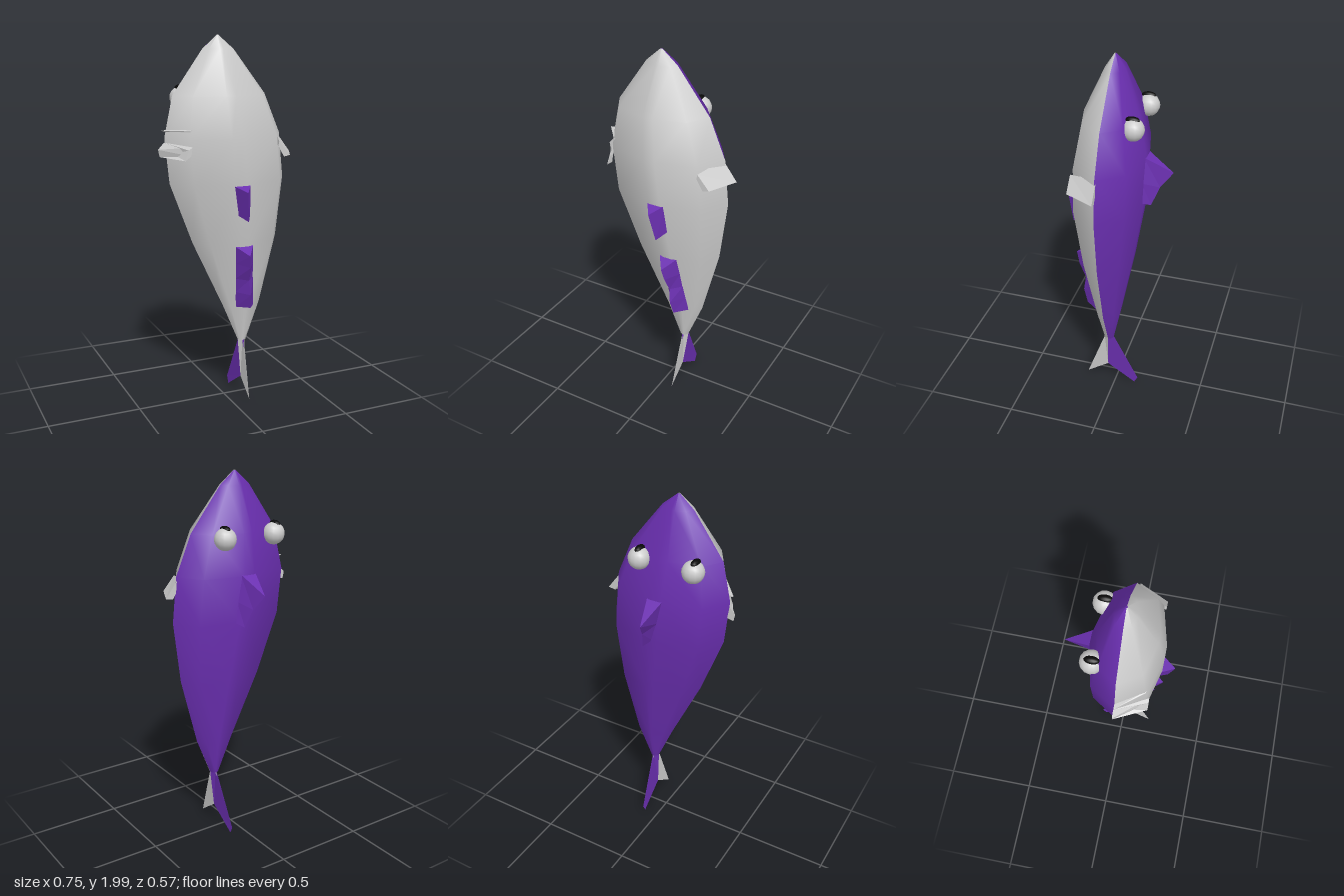
import * as THREE from 'three';

const PURPLE = 0x6a2fb0, GREY = 0xcccccc, BLACK = 0x080808;

function addMesh(parent, name, geometry, color, flat = false) {
  const mesh = new THREE.Mesh(geometry, new THREE.MeshStandardMaterial({
    color, flatShading: flat, side: THREE.DoubleSide,
  }));
  mesh.name = name;
  parent.add(mesh);
  return mesh;
}

// Skin a list of cross-sections, each with the same number of points
function loft(rows) {
  const n = rows[0].length, index = [];
  for (let i = 0; i < rows.length - 1; i++) {
    for (let j = 0; j < n - 1; j++) {
      const a = i * n + j, b = a + n;
      index.push(a, b, a + 1, a + 1, b, b + 1);
    }
  }
  const g = new THREE.BufferGeometry();
  g.setAttribute('position', new THREE.Float32BufferAttribute(rows.flat(2), 3));
  g.setIndex(index);
  g.computeVertexNormals();
  return g;
}

// Body stations: y, left x, right x, belly z, back z
const SEAM = 0.035;
const STATIONS = [
  [2.0, -0.055, -0.045, 0.04, 0.03],
  [1.93, -0.135, 0.04, 0.085, -0.02],
  [1.7, -0.30, 0.22, 0.19, -0.1],
  [1.49, -0.345, 0.31, 0.225, -0.147],
  [1.25, -0.32, 0.335, 0.22, -0.145],
  [0.92, -0.195, 0.295, 0.165, -0.1],
  [0.55, -0.02, 0.20, 0.092, -0.035],
  [0.34, 0.07, 0.115, 0.06, 0.008],
];
const SECTION = [[-1, 0], [-0.74, 0.73], [-0.1, 1], [0.1, 1], [0.74, 0.73], [1, 0]];

function bodyHalf(column) {
  return loft(STATIONS.map((s) => SECTION.map(([u, v]) => [
    (s[1] + s[2]) / 2 + u * (s[2] - s[1]) / 2, s[0], SEAM + v * (s[column] - SEAM),
  ])));
}

// Wedge fin; rows: base y, centre x, half width, base z, ridge y, ridge z
function wedgeFin(rows) {
  const rings = rows.map(([y, x, w, z, ry, rz]) => [[x - w, y, z], [x, ry, rz], [x + w, y, z]]);
  const cap = ([y, x, w, z]) => [[x - w, y, z], [x, y, z], [x + w, y, z]];
  return loft([cap(rows[0]), ...rings, cap(rows[rows.length - 1])]);
}

// Tail lobe as a fan from the notch; points: z, y, half thickness
function tailLobe(points, side) {
  const at = ([z, y, t]) => [0.08 + 0.013 * (y / 0.34) + side * t, y, z];
  return loft([points.map(() => at([0.045, 0.12, 0])), points.map(at)]);
}

// Slab between two four-cornered ends, given as x, y pairs
function slab(endA, zA, endB, zB) {
  const ring = (e, z) => [...e, e[0]].map(([x, y]) => [x, y, z]);
  const a = ring(endA, zA), b = ring(endB, zB);
  return loft([a.map(() => a[0]), a, b, b.map(() => b[0])]);
}

export function createModel() {
  const fish = new THREE.Group();
  fish.name = 'fish';

  addMesh(fish, 'belly', bodyHalf(3), GREY);
  addMesh(fish, 'back', bodyHalf(4), PURPLE);

  // Fins along the back and belly
  addMesh(fish, 'dorsalFin', wedgeFin([
    [1.5, -0.015, 0.045, -0.135, 1.41, -0.283],
    [1.36, 0.012, 0.04, -0.135, 1.33, -0.22],
    [1.25, 0.035, 0.03, -0.135, 1.23, -0.18],
  ]), PURPLE, true);
  addMesh(fish, 'bellyFin', wedgeFin([
    [1.25, 0.012, 0.052, 0.205, 1.22, 0.284],
    [1.09, 0.033, 0.04, 0.18, 1.06, 0.25],
  ]), PURPLE, true);
  addMesh(fish, 'analFin', wedgeFin([
    [0.91, 0.052, 0.052, 0.155, 0.87, 0.23],
    [0.81, 0.062, 0.052, 0.135, 0.80, 0.213],
    [0.72, 0.071, 0.052, 0.115, 0.72, 0.175],
    [0.64, 0.079, 0.052, 0.1, 0.64, 0.185],
    [0.55, 0.088, 0.052, 0.085, 0.56, 0.162],
  ]), PURPLE, true);

  // Forked tail, one lobe per colour
  for (const side of [-1, 1]) {
    addMesh(fish, 'tailLobeBack', tailLobe(
      [[SEAM, 0.34, 0.022], [0.008, 0.34, 0.005], [-0.135, 0.05, 0], [-0.115, 0.01, 0]], side), PURPLE, true);
    addMesh(fish, 'tailLobeBelly', tailLobe(
      [[SEAM, 0.34, 0.022], [0.06, 0.34, 0.005], [0.17, 0.03, 0]], side), GREY, true);
  }

  // Side fins, the left one spread wider
  addMesh(fish, 'leftSideFin', slab(
    [[0.295, 1.49], [0.375, 1.385], [0.335, 1.378], [0.285, 1.45]], 0.03,
    [[0.235, 1.46], [0.30, 1.385], [0.265, 1.378], [0.23, 1.435]], 0.185), GREY, true);
  addMesh(fish, 'rightSideFin', slab(
    [[-0.345, 1.465], [-0.378, 1.43], [-0.37, 1.392], [-0.335, 1.4]], 0.03,
    [[-0.25, 1.455], [-0.258, 1.41], [-0.29, 1.388], [-0.27, 1.44]], 0.188), GREY, true);
  addMesh(fish, 'rightGillEdge', slab(
    [[-0.33, 1.53], [-0.362, 1.527], [-0.345, 1.52], [-0.33, 1.52]], 0.035,
    [[-0.245, 1.54], [-0.255, 1.535], [-0.255, 1.528], [-0.245, 1.525]], 0.17), GREY, true);

  // Eyes with upward-looking pupils
  for (const [name, x, shift] of [['leftEye', 0.098, -0.002], ['rightEye', -0.205, -0.01]]) {
    const eye = new THREE.Group();
    eye.name = name;
    eye.position.set(x, 1.68, -0.097);
    addMesh(eye, name + 'Ball', new THREE.SphereGeometry(0.058, 14, 10), GREY);
    const pupil = addMesh(eye, name + 'Pupil', new THREE.SphereGeometry(1, 12, 8), BLACK);
    pupil.scale.set(0.02, 0.018, 0.038);
    pupil.position.set(shift, 0.049, 0.004);
    fish.add(eye);
  }
  return fish;
}
